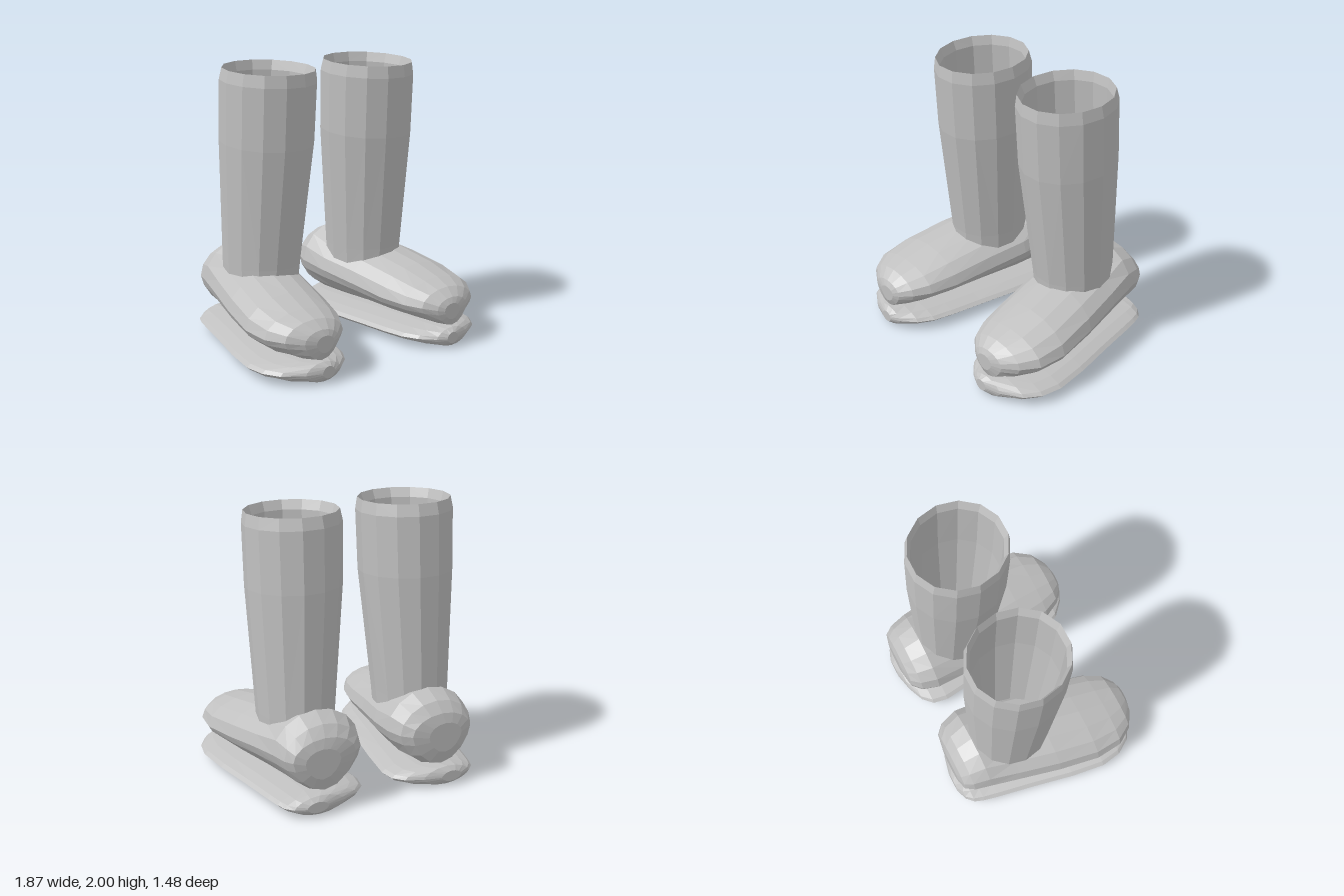
import * as THREE from 'three';

const SIDES = 16;

// Skin a list of closed rings; side = -1 mirrors in x and keeps the winding outward
function loft(rings, side, capped) {
  const n = rings[0].length;
  const pos = rings.flat().flatMap(([x, y, z]) => [x * side, y, z]);
  const index = [];
  const tri = (a, b, c) => (side > 0 ? index.push(a, b, c) : index.push(a, c, b));
  for (let i = 0; i < rings.length - 1; i++) {
    for (let j = 0; j < n; j++) {
      const k = (j + 1) % n;
      const a = i * n + j, b = i * n + k;
      tri(a, b, b + n);
      tri(a, b + n, a + n);
    }
  }
  if (capped) {
    const last = (rings.length - 1) * n;
    for (let j = 1; j < n - 1; j++) {
      tri(0, j + 1, j);
      tri(last, last + j, last + j + 1);
    }
  }
  const geo = new THREE.BufferGeometry();
  geo.setAttribute('position', new THREE.Float32BufferAttribute(pos, 3));
  geo.setIndex(index);
  const flat = geo.toNonIndexed();
  flat.computeVertexNormals();
  return flat;
}

// Upright cross-section at z: rounded or pointed above and below its widest height
function section([z, x0, x1, bottom, mid, top], topPower, bottomPower) {
  return Array.from({ length: SIDES }, (_, j) => {
    const a = (j / SIDES) * Math.PI * 2;
    const s = Math.sin(a);
    const y = s >= 0
      ? mid + (top - mid) * Math.pow(s, topPower)
      : mid - (mid - bottom) * Math.pow(-s, bottomPower);
    return [(x0 + x1) / 2 + ((x1 - x0) / 2) * Math.cos(a), y, z];
  });
}

// Level ring of the shaft, its height tilted from front to back
function shaftRing([yFront, yBack, x0, x1, back, front]) {
  return Array.from({ length: 14 }, (_, j) => {
    const a = (j / 14) * Math.PI * 2;
    const s = Math.sin(a);
    return [
      (x0 + x1) / 2 + ((x1 - x0) / 2) * Math.cos(a),
      (yFront + yBack) / 2 + ((yBack - yFront) / 2) * s,
      (back + front) / 2 - ((front - back) / 2) * s,
    ];
  });
}

// z, inner x, outer x, bottom, widest height, top
const FOOT = [
  [-0.72, 0.34, 0.60, 0.27, 0.40, 0.49],
  [-0.70, 0.22, 0.68, 0.18, 0.42, 0.56],
  [-0.64, 0.155, 0.72, 0.157, 0.42, 0.635],
  [-0.52, 0.115, 0.75, 0.155, 0.42, 0.69],
  [-0.30, 0.125, 0.80, 0.155, 0.40, 0.62],
  [0.00, 0.18, 0.865, 0.155, 0.36, 0.58],
  [0.30, 0.23, 0.91, 0.155, 0.32, 0.52],
  [0.50, 0.28, 0.89, 0.155, 0.31, 0.465],
  [0.62, 0.345, 0.81, 0.155, 0.305, 0.425],
  [0.69, 0.43, 0.70, 0.16, 0.29, 0.37],
  [0.71, 0.48, 0.62, 0.21, 0.28, 0.33],
];

const SOLE = [
  [-0.74, 0.44, 0.60, 0.04, 0.08, 0.12],
  [-0.71, 0.31, 0.68, 0.012, 0.08, 0.15],
  [-0.66, 0.19, 0.73, 0.005, 0.08, 0.155],
  [-0.59, 0.12, 0.755, 0.003, 0.08, 0.155],
  [-0.48, 0.10, 0.78, 0, 0.08, 0.155],
  [-0.20, 0.135, 0.835, 0, 0.08, 0.155],
  [0.10, 0.185, 0.90, 0, 0.08, 0.155],
  [0.35, 0.225, 0.935, 0, 0.08, 0.155],
  [0.50, 0.26, 0.91, 0, 0.08, 0.155],
  [0.61, 0.32, 0.84, 0.003, 0.08, 0.155],
  [0.70, 0.42, 0.70, 0.01, 0.08, 0.15],
  [0.735, 0.49, 0.59, 0.04, 0.08, 0.125],
];

// front height, back height, inner x, outer x, back z, front z
const SHAFT = [
  [0.48, 0.48, 0.19, 0.72, -0.52, 0.07],
  [0.60, 0.60, 0.18, 0.725, -0.52, 0.08],
  [1.45, 1.50, 0.10, 0.757, -0.52, 0.185],
  [1.88, 1.92, 0.09, 0.757, -0.50, 0.21],
  [1.965, 2.00, 0.105, 0.742, -0.475, 0.20],
  // lining
  [1.90, 1.93, 0.13, 0.72, -0.46, 0.17],
  [1.45, 1.50, 0.14, 0.72, -0.48, 0.145],
  [0.50, 0.50, 0.22, 0.68, -0.47, 0.035],
];

export function createModel() {
  const grey = new THREE.MeshStandardMaterial({ color: 0xc0c0c0 });
  grey.name = 'plain grey';
  const model = new THREE.Group();
  model.name = 'boots';

  for (const [name, side] of [['leftBoot', 1], ['rightBoot', -1]]) {
    const boot = new THREE.Group();
    boot.name = name;
    const add = (part, geo) => {
      const mesh = new THREE.Mesh(geo, grey);
      mesh.name = part;
      boot.add(mesh);
    };
    add('sole', loft(SOLE.map((s) => section(s, 1.3, 1.3)), side, true));
    add('foot', loft(FOOT.map((s) => section(s, 1, 1.35)), side, true));
    add('shaft', loft(SHAFT.map(shaftRing), side, false));
    model.add(boot);
  }
  return model;
}
